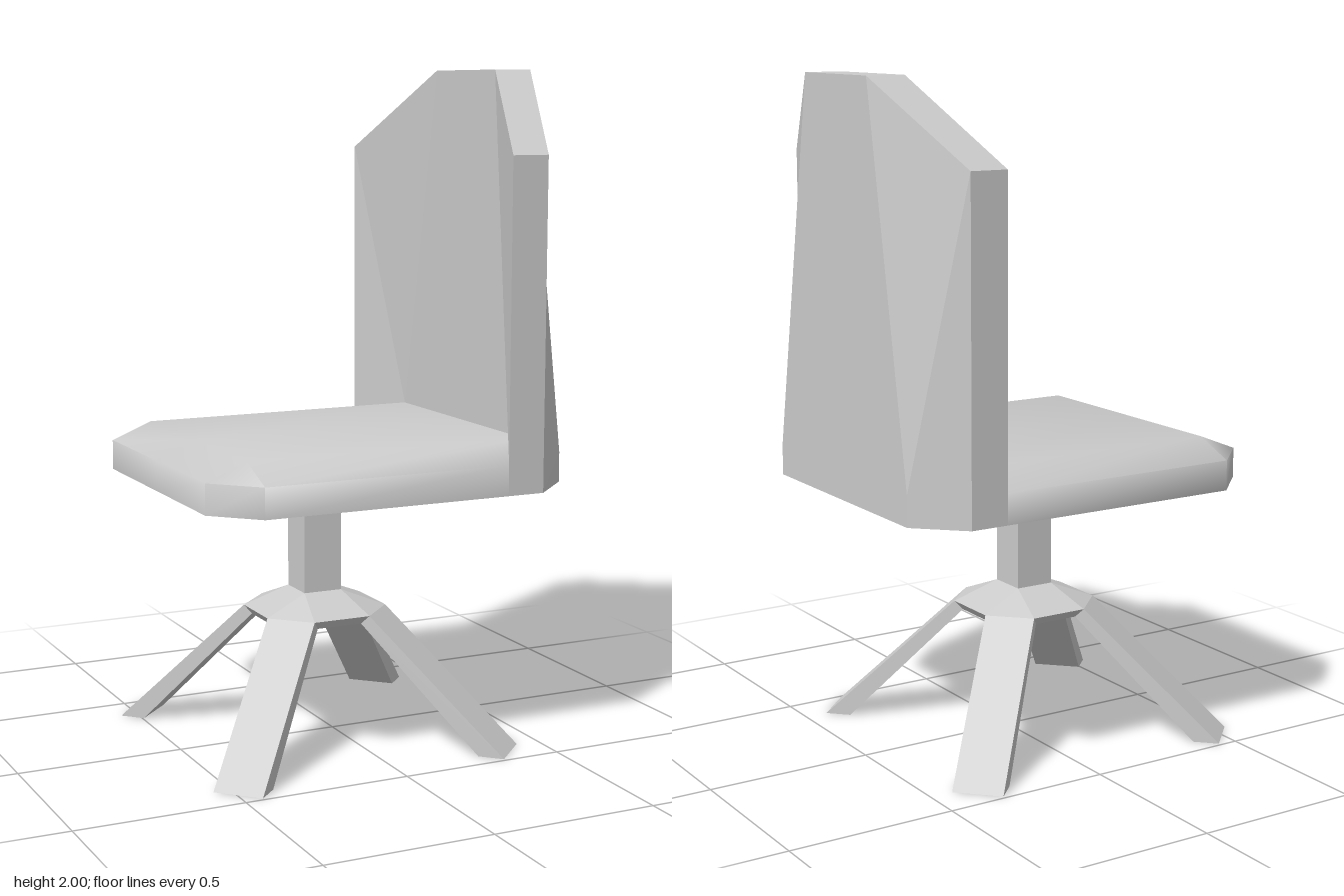
import * as THREE from 'three';
import { toCreasedNormals } from 'three/addons/utils/BufferGeometryUtils.js';

const material = new THREE.MeshStandardMaterial({ color: 0xcccccc });

// Geometry from convex polygons; crease is the largest angle that stays smooth
function fromPolygons(polygons, crease) {
  const points = [];
  for (const p of polygons)
    for (let i = 1; i < p.length - 1; i++) points.push(...p[0], ...p[i], ...p[i + 1]);
  const geometry = new THREE.BufferGeometry();
  geometry.setAttribute('position', new THREE.Float32BufferAttribute(points, 3));
  return toCreasedNormals(geometry, crease);
}

// Adds the copy of each polygon on the other side of z = 0
const mirrored = (polygons) =>
  polygons.concat(polygons.map((p) => p.map(([x, y, z]) => [x, y, -z]).reverse()));

function addMesh(parent, name, geometry) {
  const mesh = new THREE.Mesh(geometry, material);
  mesh.name = name;
  parent.add(mesh);
  return mesh;
}

export function createModel() {
  const group = new THREE.Group();
  group.name = 'swivelChair';

  // Shared corners of the +z half
  const low = 0.79, rim = 0.88, top = 0.93;
  const mid = ([x, y]) => [x, y, 0];
  const A = [-0.565, low, 0.38], B = [-0.44, low, 0.505], C = [0.32, low, 0.505];
  const D = [0.435, low, 0.505], E = [0.565, low, 0.38];
  const A2 = [-0.565, rim, 0.38], B2 = [-0.44, rim, 0.505], C2 = [0.32, rim, 0.505];
  const E2 = [0.565, rim, 0.38];
  const T1 = [-0.44, top, 0.38], T2 = [0.443, top, 0.38];
  const C3 = [0.32, 1.76, 0.505], D3 = [0.435, 1.76, 0.505];
  const F = [0.445, 2, 0.18], G = [0.565, 2, 0.18];
  const S1 = [-0.12, 0.755, 0.06], S2 = [0, 0.755, 0.06];

  // Seat cushion: walls, bevel and flat top
  addMesh(group, 'seat', fromPolygons(mirrored([
    [B, C, C2, B2], [A, B, B2, A2], [mid(A), A, A2, mid(A2)],
    [B2, C2, T2, T1], [A2, B2, T1], [mid(A2), A2, T1, mid(T1)],
    [T1, T2, mid(T2), mid(T1)],
  ]), 1.22));

  // Shallow underside running down to the stem
  addMesh(group, 'seatUnderside', fromPolygons(mirrored([
    [D, B, S1, S2], [B, A, S1], [E, D, S2],
    [A, mid(A), mid(S1), S1], [mid(E), E, S2, mid(S2)],
  ]), 0.3));

  // Backrest with wings folded forward
  addMesh(group, 'backrest', fromPolygons(mirrored([
    [C, D, D3, C3], [C3, D3, G, F], [F, G, mid(G), mid(F)],
    [D, E, E2, G, D3], [E, mid(E), mid(G), G, E2],
    [C2, C3, F, T2], [T2, F, mid(F), mid(T2)],
  ]), 0.3));

  // Base on the stem axis
  const base = new THREE.Group();
  base.name = 'base';
  base.position.x = -0.06;
  group.add(base);
  addMesh(base, 'stem', new THREE.BoxGeometry(0.12, 0.32, 0.12)).position.y = 0.605;

  // One quarter of the hub and one splayed leg, built along +x
  const h = 0.0745;
  const quarter = ([x, y, z]) => [-z, y, x];
  const flip = ([x, y, z]) => [x, y, -z];
  const P = [0.085, 0.45, 0], K = [0.2015, 0.395, h], J = [0.175, 0.37, h];
  const O = [0.619, 0, h], I = [0.541, 0, h];
  const K90 = quarter(flip(K)), J90 = quarter(flip(J));
  const hubGeometry = fromPolygons([
    [P, K, flip(K)], [P, quarter(P), K90, K],
    [J90, J, K, K90], [flip(J), J, J90, [0, 0.37, 0]],
  ], 0.3);
  const legGeometry = fromPolygons([
    [flip(K), K, O, flip(O)], [J, flip(J), flip(I), I], [I, flip(I), flip(O), O],
    ...mirrored([[J, I, O, K]]),
  ], 0.3);

  for (let i = 0; i < 4; i++) {
    const angle = Math.PI / 4 + (i * Math.PI) / 2;
    addMesh(base, 'hubQuarter', hubGeometry).rotation.y = angle;
    addMesh(base, 'leg', legGeometry).rotation.y = angle;
  }
  return group;
}
